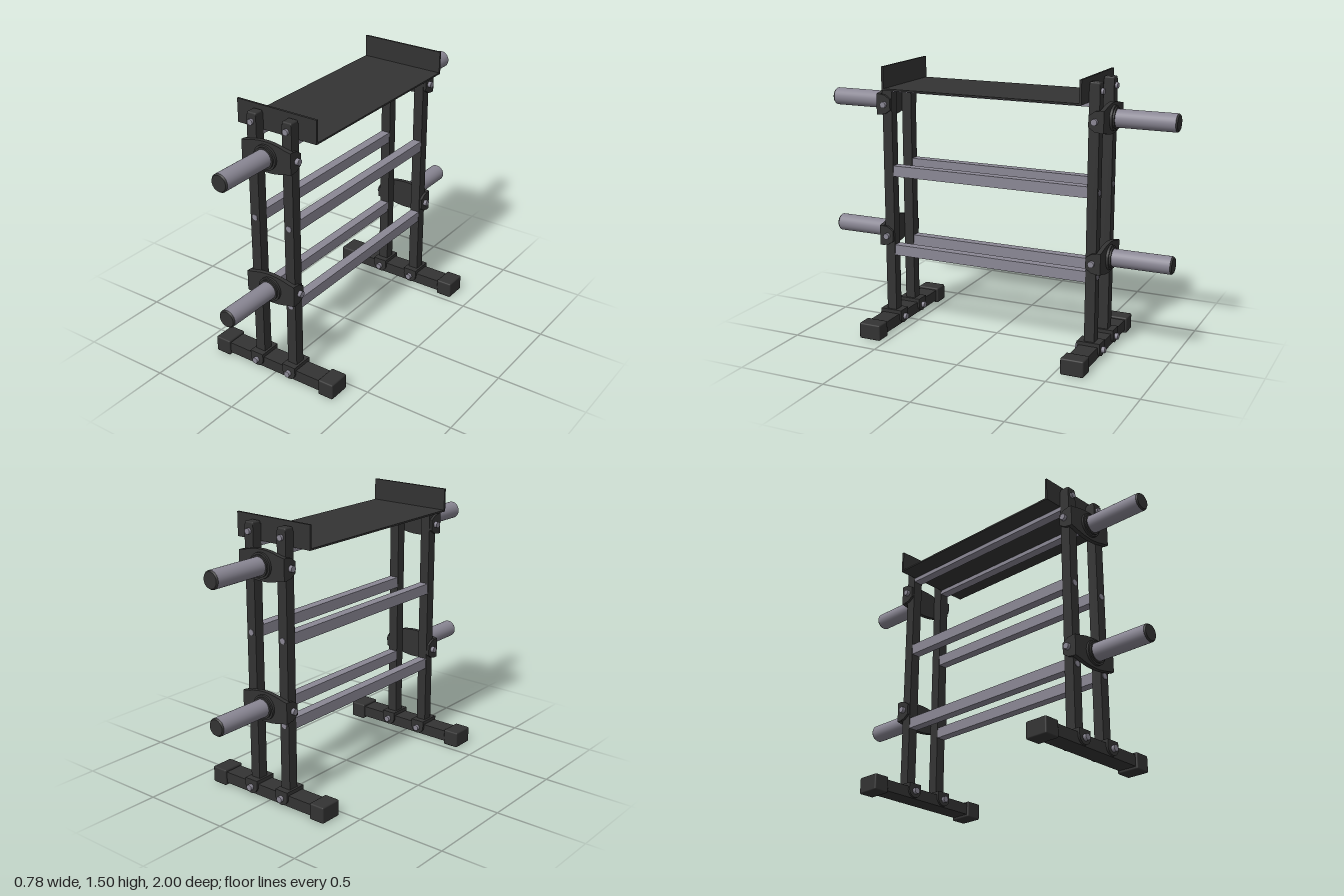
import * as THREE from 'three';
import { RoundedBoxGeometry } from 'three/addons/geometries/RoundedBoxGeometry.js';

const black = new THREE.MeshStandardMaterial({ color: 0x333333 });
black.name = 'black powder coat';
const steel = new THREE.MeshStandardMaterial({ color: 0x8a8794 });
steel.name = 'grey steel';

const POST_X = 0.107, POST_Z = 0.597, POST_W = 0.057;

function add(parent, name, geometry, material, x = 0, y = 0, z = 0) {
  const mesh = new THREE.Mesh(geometry, material);
  mesh.name = name;
  mesh.position.set(x, y, z);
  parent.add(mesh);
  return mesh;
}
const box = (w, h, d) => new THREE.BoxGeometry(w, h, d);
const rodZ = (r, length, sides = 32) =>
  new THREE.CylinderGeometry(r, r, length, sides).rotateX(Math.PI / 2);
const extrude = (shape, depth) =>
  new THREE.ExtrudeGeometry(shape, { depth, bevelEnabled: false, curveSegments: 12 });

// Bracket face with bowed top and bottom edges
function bracketShape() {
  const s = new THREE.Shape();
  s.moveTo(-0.15, -0.057);
  s.lineTo(-0.11, -0.064);
  s.quadraticCurveTo(0, -0.098, 0.11, -0.064);
  s.lineTo(0.15, -0.057);
  s.lineTo(0.15, 0.057);
  s.lineTo(0.11, 0.064);
  s.quadraticCurveTo(0, 0.098, -0.11, 0.064);
  s.lineTo(-0.15, 0.057);
  return s;
}

// Side cheek, drawn with z along the shape's x, chamfered on the inner end
function cheekGeometry() {
  const s = new THREE.Shape();
  s.moveTo(0.64, -0.057);
  s.lineTo(0.64, 0.057);
  s.lineTo(0.605, 0.052);
  s.lineTo(0.572, 0.03);
  s.lineTo(0.572, -0.03);
  s.lineTo(0.605, -0.052);
  return extrude(s, 0.014).rotateY(-Math.PI / 2);
}

// Foot plate with a half-round lower end
function footPlateShape() {
  const s = new THREE.Shape();
  s.moveTo(-0.041, 0.097);
  s.lineTo(-0.041, 0.06);
  s.absarc(0, 0.06, 0.041, Math.PI, Math.PI * 2, false);
  s.lineTo(0.041, 0.097);
  return s;
}

// Plate holder: U bracket, collar and storage sleeve
function createHolder(y) {
  const holder = new THREE.Group();
  holder.name = 'plateHolder';
  holder.position.y = y;
  add(holder, 'bracketFace', extrude(bracketShape(), 0.024), black, 0, 0, 0.63);
  for (const side of [-1, 1]) {
    add(holder, 'bracketCheek', cheekGeometry(), black, side * 0.143 + 0.007, 0, 0);
    const bolt = new THREE.CylinderGeometry(0.017, 0.017, 0.02, 12).rotateZ(Math.PI / 2);
    add(holder, 'cheekBolt', bolt, steel, side * 0.159, 0, 0.607);
  }
  add(holder, 'outerCollar', rodZ(0.067, 0.03), black, 0, 0, 0.652);
  add(holder, 'innerCollar', rodZ(0.057, 0.03), black, 0, 0, 0.661);
  add(holder, 'sleeve', rodZ(0.048, 0.33), steel, 0, 0, 0.827);
  const cap = new THREE.CylinderGeometry(0.042, 0.048, 0.008, 32).rotateX(Math.PI / 2);
  add(holder, 'sleeveCap', cap, black, 0, 0, 0.996);
  return holder;
}

// One end frame: foot, two posts and two plate holders
function createEndFrame() {
  const frame = new THREE.Group();
  frame.name = 'endFrame';
  add(frame, 'footBeam', box(0.7, 0.062, 0.105), black, 0, 0.046, POST_Z);

  for (const side of [-1, 1]) {
    const x = side * POST_X;
    add(frame, 'footCap', new RoundedBoxGeometry(0.091, 0.09, 0.128, 2, 0.008),
      black, side * 0.3435, 0.045, POST_Z);

    add(frame, 'post', box(POST_W, 1.385, POST_W), black, x, 0.7675, POST_Z);
    add(frame, 'postCap', new RoundedBoxGeometry(POST_W, 0.03, POST_W, 2, 0.008),
      black, x, 1.46, POST_Z);

    // Foot saddle straddling the beam
    add(frame, 'saddleTop', box(0.082, 0.02, 0.105), black, x, 0.087, POST_Z);
    for (const z of [POST_Z - 0.064, POST_Z + 0.052]) {
      add(frame, 'saddlePlate', extrude(footPlateShape(), 0.012), black, x, 0, z);
    }
    add(frame, 'footBolt', rodZ(0.017, 0.165, 12), steel, x, 0.054, POST_Z);

    // Bolts through the posts
    for (const y of [0.45, 0.903]) {
      add(frame, 'railBolt', rodZ(0.016, 0.008, 12), steel, x, y, 0.625);
    }
    add(frame, 'trayBolt', rodZ(0.016, 0.03, 12), steel, x, 1.427, 0.624);
  }
  for (const y of [0.534, 1.277]) frame.add(createHolder(y));
  return frame;
}

export function createModel() {
  const model = new THREE.Group();
  model.name = 'weightRack';

  const front = createEndFrame();
  const back = createEndFrame();
  back.rotation.y = Math.PI;
  model.add(front, back);

  // Long rails joining the end frames
  for (const side of [-1, 1]) {
    for (const y of [0.452, 0.906]) {
      add(model, 'rail', box(0.052, 0.06, 1.138), steel, side * POST_X, y, 0);
    }
    add(model, 'trayRail', box(0.052, 0.023, 1.138), steel, side * POST_X, 1.3595, 0);
  }

  // Top tray with upturned ends
  const tray = new THREE.Group();
  tray.name = 'tray';
  add(tray, 'trayPanel', box(0.48, 0.009, 1.134), black, 0, 1.3755, 0);
  for (const side of [-1, 1]) {
    add(tray, 'trayFlange', box(0.48, 0.127, 0.012), black, 0, 1.4345, side * 0.561);
  }
  model.add(tray);
  return model;
}
